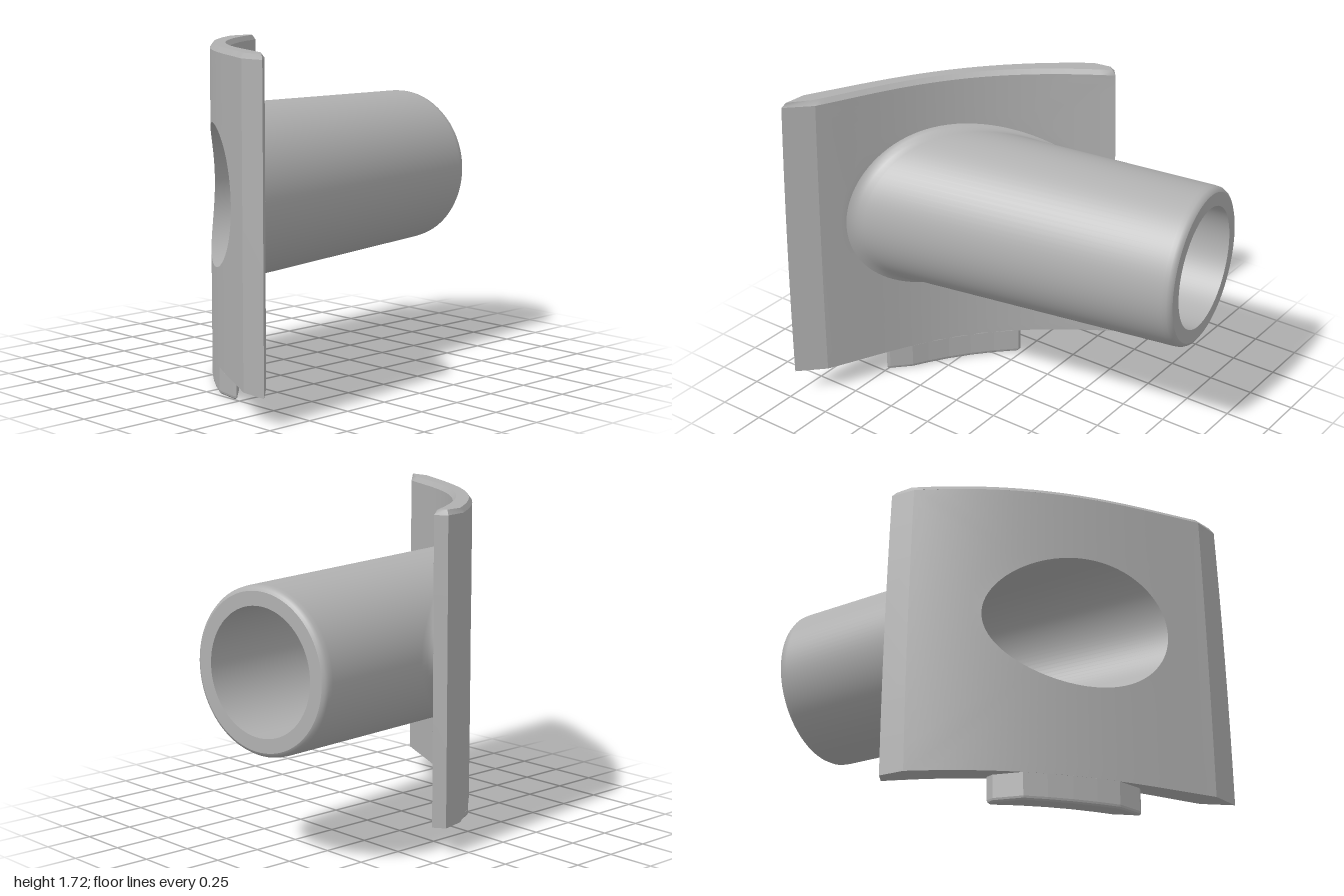
import * as THREE from 'three';

const N = 96;                       // segments around the tube
const Y0 = 0.14, Y1 = 1.695, TOP = 1.72, AXIS_Y = 0.98;

// Cubic through four points: the plate's curved faces, z as a function of x
const cubic = (pts) => (x) => pts.reduce((sum, [xi, zi], i) =>
  sum + pts.reduce((p, [xj], j) => (i === j ? p : p * (x - xj) / (xi - xj)), zi), 0);
const frontZ = cubic([[-0.68, 0.01], [-0.3, 0.455], [0.1, 0.745], [0.55, 0.985]]);
const backZ = cubic([[-0.65, -0.16], [-0.396, 0.21], [0.154, 0.66], [0.58, 0.87]]);
const FRONT = [-0.68, 0.55], BACK = [-0.65, 0.58];
const LEFT_TIP = [-0.708, -0.12], RIGHT_TIP = [0.705, 0.995];

// Surface through rows of points
function loft(rows, { closed = false, flip = false } = {}) {
  const w = rows[0].length, index = [];
  for (let i = 0; i < rows.length - 1; i++) {
    for (let j = 0; j < (closed ? w : w - 1); j++) {
      const k = (j + 1) % w;
      const a = i * w + j, b = i * w + k, c = a + w, d = b + w;
      if (flip) index.push(a, c, b, b, c, d);
      else index.push(a, b, c, b, d, c);
    }
  }
  const g = new THREE.BufferGeometry();
  g.setAttribute('position', new THREE.Float32BufferAttribute(
    rows.flat().flatMap((p) => [p.x, p.y, p.z]), 3));
  g.setIndex(index);
  g.computeVertexNormals();
  return g;
}

// Plate point: the side edges draw in slightly towards the top
function platePoint(x, y, z) {
  const t = Math.max(0, (y - Y0) / (TOP - Y0));
  const k = 0.03 * t * t * x * Math.abs(x) / 0.7;
  return new THREE.Vector3(x - k, y, z - 0.8 * k);
}

// Slanted tube: a point at distance s along the axis, angle a, radius r
const origin = new THREE.Vector3(-0.27, AXIS_Y, -0.94);
const axis = new THREE.Vector3(0.135, 0, 0.991).normalize();
const side = new THREE.Vector3(axis.z, 0, -axis.x);
const tubePoint = (s, a, r) => origin.clone().addScaledVector(axis, s)
  .addScaledVector(side, r * Math.cos(a)).add(new THREE.Vector3(0, r * Math.sin(a), 0));
const outerR = (s) => 0.416 + 0.017 * s;
const innerR = (s) => 0.32 + 0.023 * s;
const angles = Array.from({ length: N }, (_, i) => (i / N) * Math.PI * 2);

// Distance at which a tube line meets a curved plate face
function meet(a, radius, faceZ) {
  let lo = 0, hi = 2.3;
  for (let i = 0; i < 40; i++) {
    const mid = (lo + hi) / 2, p = tubePoint(mid, a, radius(mid));
    if (p.z < faceZ(p.x)) lo = mid; else hi = mid;
  }
  return lo;
}

// Curved plate face running from the hole's rim out to the border
function faceWithHole(rim, faceZ, [x0, x1], flip) {
  const cx = rim.reduce((sum, p) => sum + p.x, 0) / N;
  const border = rim.map((p) => {
    const dx = p.x - cx, dy = p.y - AXIS_Y;
    const tx = dx > 0 ? (x1 - cx) / dx : (x0 - cx) / (dx || -1e-9);
    const ty = dy > 0 ? (Y1 - AXIS_Y) / dy : (Y0 - AXIS_Y) / (dy || -1e-9);
    const t = Math.min(tx, ty);
    return [cx + dx * t, AXIS_Y + dy * t];
  });
  // Snap the closest border points to the four corners
  for (const x of [x0, x1]) for (const y of [Y0, Y1]) {
    let best = 0;
    border.forEach((p, i) => {
      if (Math.hypot(p[0] - x, p[1] - y) <
          Math.hypot(border[best][0] - x, border[best][1] - y)) best = i;
    });
    border[best] = [x, y];
  }
  const rows = [rim];
  for (let k = 1; k <= 10; k++) {
    rows.push(rim.map((p, i) => {
      const x = THREE.MathUtils.lerp(p.x, border[i][0], k / 10);
      const y = THREE.MathUtils.lerp(p.y, border[i][1], k / 10);
      return platePoint(x, y, faceZ(x));
    }));
  }
  return loft(rows, { closed: true, flip });
}

export function createModel() {
  const model = new THREE.Group();
  const grey = new THREE.MeshStandardMaterial({ color: 0xb0b0b0, side: THREE.DoubleSide });
  grey.name = 'plain grey';
  const add = (parent, name, geometry) => {
    const mesh = new THREE.Mesh(geometry, grey);
    mesh.name = name;
    parent.add(mesh);
  };

  // Tube: outer wall with rounded end and a fillet at the plate, bore, end ring
  const tube = new THREE.Group();
  tube.name = 'slantedTube';
  const flared = (s) => outerR(s) + 0.025;
  const outerEnd = angles.map((a) => meet(a, flared, backZ));
  const wall = [[0, -0.025], [0.008, -0.011], [0.025, -0.002], [0.05, 0]]
    .map(([s, dr]) => angles.map((a) => tubePoint(s, a, outerR(s) + dr)));
  for (const [back, dr] of [[0.09, 0], [0.05, 0.003], [0.02, 0.011], [0, 0.025]]) {
    wall.push(angles.map((a, i) => {
      const s = outerEnd[i] - back;
      return tubePoint(s, a, outerR(s) + dr);
    }));
  }
  const bore = [0, 1].map((t) => angles.map((a) => {
    const s = t * meet(a, innerR, frontZ);
    return tubePoint(s, a, innerR(s));
  }));
  add(tube, 'tubeWall', loft(wall, { closed: true }));
  add(tube, 'tubeBore', loft(bore, { closed: true, flip: true }));
  add(tube, 'tubeEndRing', loft([bore[0], wall[0]], { closed: true }));
  model.add(tube);

  // Curved plate: front and back faces
  const plate = new THREE.Group();
  plate.name = 'curvedPlate';
  add(plate, 'plateFront', faceWithHole(bore[1], frontZ, FRONT, true));
  add(plate, 'plateBack', faceWithHole(wall[wall.length - 1], backZ, BACK, false));

  // Chamfered side edges
  const at = ([x0, x1], f, t) => {
    const x = THREE.MathUtils.lerp(x0, x1, t);
    return [x, f(x)];
  };
  const edges = {
    rightEdgeFromFront: [at(FRONT, frontZ, 1), RIGHT_TIP],
    rightEdgeFromBack: [RIGHT_TIP, at(BACK, backZ, 1)],
    leftEdgeFromBack: [at(BACK, backZ, 0), LEFT_TIP],
    leftEdgeFromFront: [LEFT_TIP, at(FRONT, frontZ, 0)],
  };
  for (const [name, pair] of Object.entries(edges)) {
    const rows = Array.from({ length: 9 }, (_, i) => {
      const y = THREE.MathUtils.lerp(Y0, Y1, i / 8);
      return pair.map(([x, z]) => platePoint(x, y, z));
    });
    add(plate, name, loft(rows));
  }

  // Bottom, top and the bevel around the top
  const frontLine = [LEFT_TIP], backLine = [LEFT_TIP];
  for (let i = 0; i <= 32; i++) {
    frontLine.push(at(FRONT, frontZ, i / 32));
    backLine.push(at(BACK, backZ, i / 32));
  }
  frontLine.push(RIGHT_TIP);
  backLine.push(RIGHT_TIP);
  const lift = (line, y) => line.map(([x, z]) => platePoint(x, y, z));
  const inset = (line, other) => line.map(([x, z], i) => {
    const dx = other[i][0] - x, dz = other[i][1] - z, d = Math.hypot(dx, dz);
    if (d < 1e-6) return [x * 0.97, z - Math.sign(x) * 0.015];
    return [x + dx / d * 0.02, z + dz / d * 0.02];
  });
  const frontTop = lift(inset(frontLine, backLine), TOP);
  const backTop = lift(inset(backLine, frontLine), TOP);
  add(plate, 'plateTop', loft([frontTop, backTop]));
  add(plate, 'topBevelFront', loft([lift(frontLine, Y1), frontTop]));
  add(plate, 'topBevelBack', loft([lift(backLine, Y1), backTop], { flip: true }));
  add(plate, 'plateBottom', loft([lift(frontLine, Y0), lift(backLine, Y0)], { flip: true }));
  model.add(plate);

  // Bottom tab, flush with both plate faces and rounded underneath
  const outline = [
    ...[-0.345, -0.25, -0.15, -0.05, 0.05, 0.13].map((x) => [x, backZ(x)]),
    [0.22, 0.735], [0.23, 0.75], [0.21, 0.757],
    ...[0.08, -0.02, -0.12, -0.22, -0.31].map((x) => [x, frontZ(x)]),
    [-0.375, 0.31], [-0.37, 0.27],
  ];
  const tab = new THREE.ExtrudeGeometry(
    new THREE.Shape(outline.map(([x, z]) => new THREE.Vector2(x, -z))),
    { depth: 0.12, bevelThickness: 0.02, bevelSize: 0.018, bevelOffset: -0.018, bevelSegments: 3 });
  tab.rotateX(-Math.PI / 2).translate(0, 0.02, 0);
  add(model, 'bottomTab', tab);

  return model;
}
